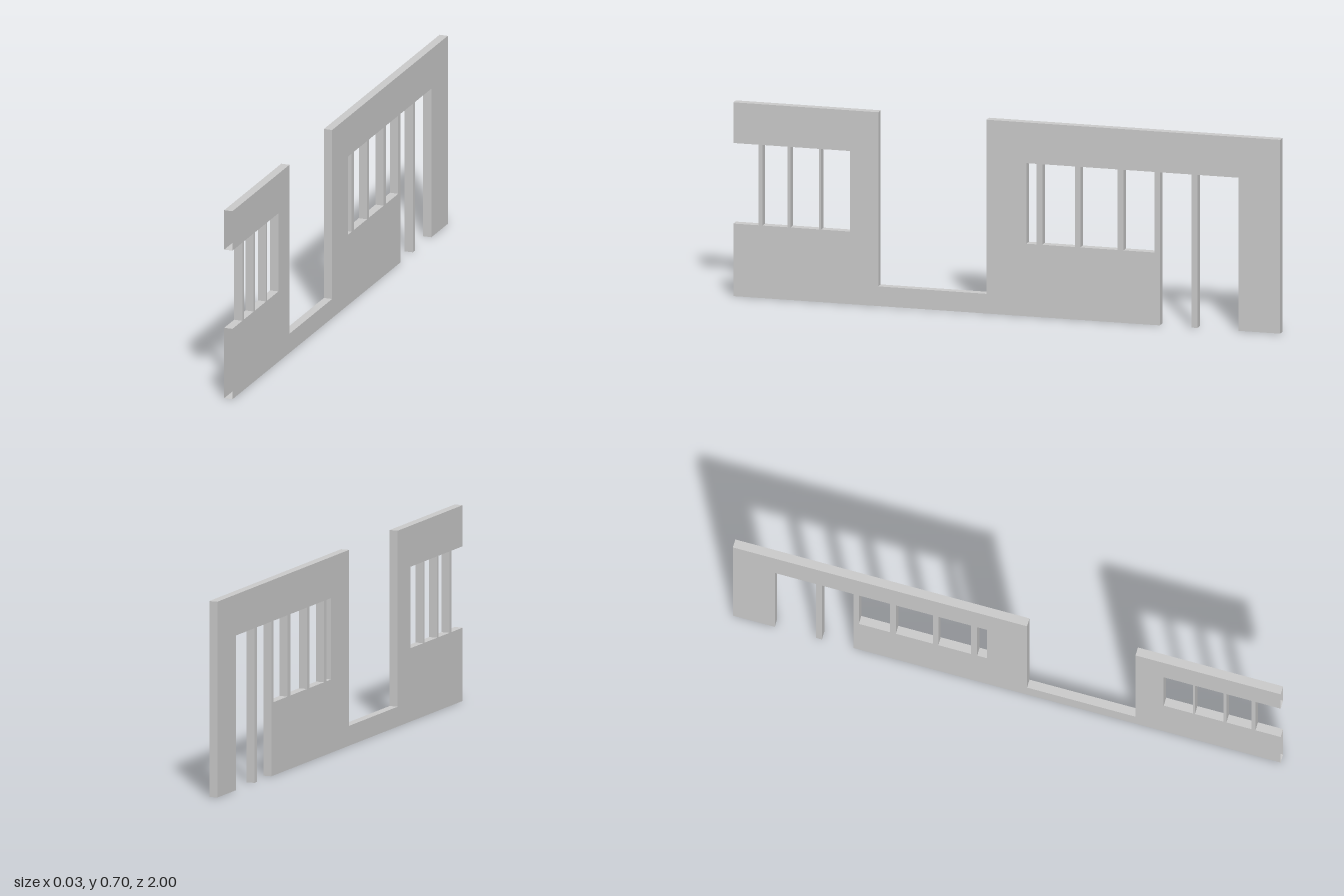
import * as THREE from 'three';

const THICK = 0.031, TOP = 0.7, HEAD = 0.553, SILL = 0.262;

// Shape x runs from the front end (-1) to the back end (1)
const toPoints = list => list.map(([z, y]) => new THREE.Vector2(-z, y));

// Rectangular opening between two z positions
function opening(z0, z1, y0 = SILL, y1 = HEAD) {
  return new THREE.Path(toPoints([[z0, y0], [z0, y1], [z1, y1], [z1, y0]]));
}

// Drop the triangles of the open front end (z = 1)
function openFrontEnd(geometry) {
  const p = geometry.attributes.position, kept = [];
  for (let i = 0; i < p.count; i += 3) {
    const onEnd = [0, 1, 2].every(k => p.getZ(i + k) > 0.9999);
    if (!onEnd) for (let k = 0; k < 3; k++) kept.push(p.getX(i + k), p.getY(i + k), p.getZ(i + k));
  }
  const result = new THREE.BufferGeometry();
  result.setAttribute('position', new THREE.Float32BufferAttribute(kept, 3));
  result.computeVertexNormals();
  return result;
}

export function createModel() {
  const group = new THREE.Group();
  group.name = 'wallPanel';

  const outline = new THREE.Shape(toPoints([
    [1, 0], [-0.56, 0],
    [-0.56, HEAD], [-0.675, HEAD], [-0.675, 0],      // doorway, first half
    [-0.697, 0], [-0.697, HEAD], [-0.847, HEAD], [-0.847, 0], // doorway, second half
    [-1, 0], [-1, TOP], [0.074, TOP],
    [0.074, 0.071], [0.47, 0.071],                   // tall gap with low sill
    [0.47, TOP], [1, TOP],
    [1, HEAD], [0.908, HEAD], [0.908, SILL], [1, SILL], // window bay cut by the front end
  ]));

  // Window bays between the mullions
  const frontBays = [[0.893, 0.802], [0.791, 0.687], [0.679, 0.573]];
  const backBays = [[-0.072, -0.108], [-0.13, -0.25], [-0.269, -0.405], [-0.427, -0.54]];
  for (const [a, b] of [...frontBays, ...backBays]) outline.holes.push(opening(a, b));

  const solid = new THREE.ExtrudeGeometry(outline, { depth: THICK, bevelEnabled: false });
  solid.translate(0, 0, -THICK / 2).rotateY(Math.PI / 2);

  const wall = new THREE.Mesh(
    openFrontEnd(solid.index ? solid.toNonIndexed() : solid),
    new THREE.MeshStandardMaterial({ color: 0xcccccc, flatShading: true, side: THREE.DoubleSide })
  );
  wall.name = 'wallWithWindowsAndDoorway';
  group.add(wall);
  return group;
}
